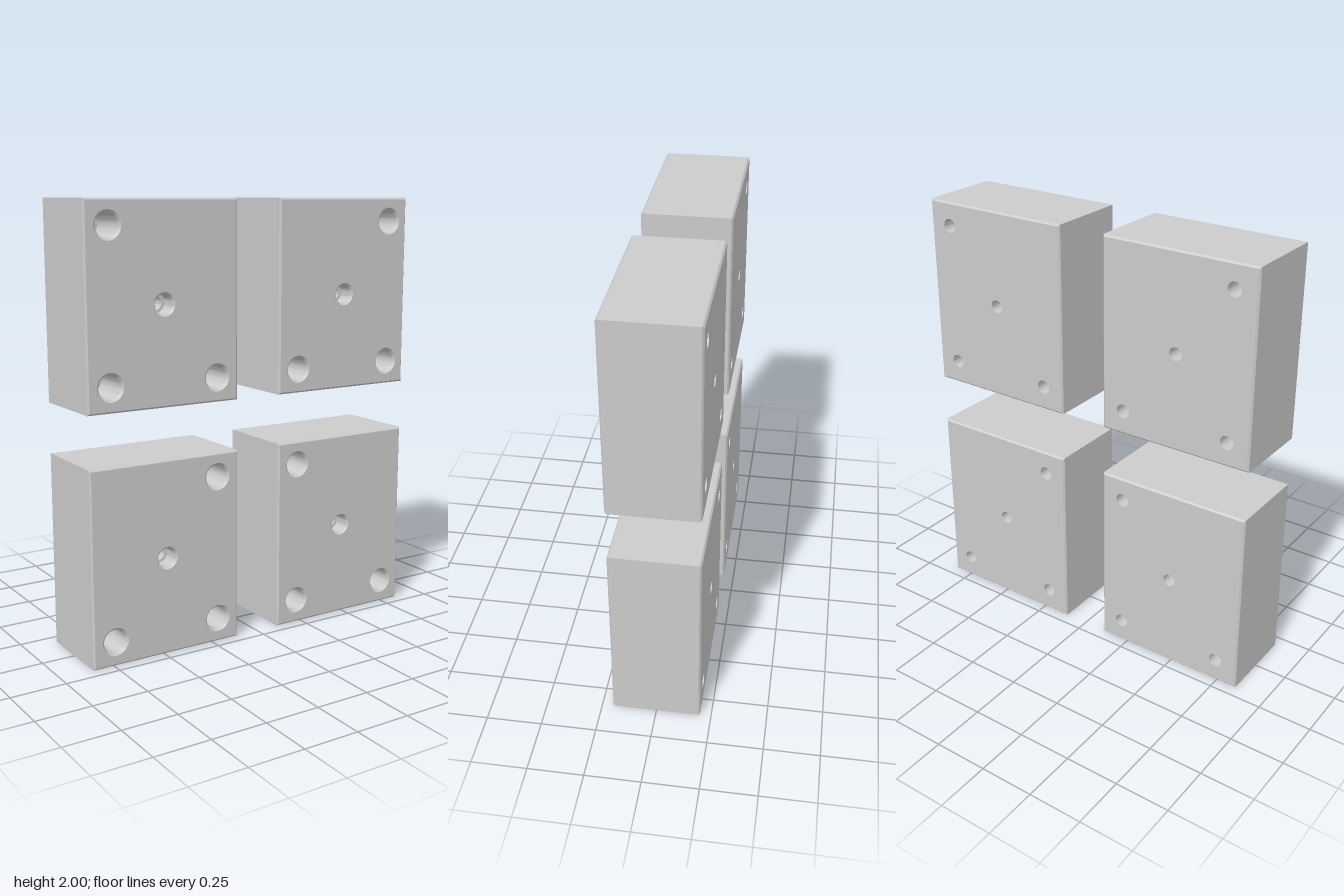
import * as THREE from 'three';
import { toCreasedNormals } from 'three/addons/utils/BufferGeometryUtils.js';

const W = 0.735, H = 0.885, D = 0.4, C = 0.008; // block size and edge chamfer
const SEG = 32;
const material = new THREE.MeshStandardMaterial({ color: 0xcccccc });

// Hole sizes: rim, counterbore and through radius, counterbore depth
const SCREW = { rim: 0.063, bore: 0.053, through: 0.032, depth: 0.2 };
const CENTRE = { rim: 0.052, bore: 0.043, through: 0.03, depth: 0.08 };

function mesh(geometry, name) {
  const m = new THREE.Mesh(geometry, material);
  m.name = name;
  return m;
}

// Four side walls with chamfers, lofted through rectangles from back to front
function wallGeometry() {
  const rings = [[-D / 2, C], [-D / 2 + C, 0], [D / 2 - C, 0], [D / 2, C]].map(([z, inset]) => {
    const x = W / 2 - inset, y = H / 2 - inset;
    return [[-x, -y, z], [x, -y, z], [x, y, z], [-x, y, z]];
  });
  const pos = [];
  for (let r = 0; r < 3; r++) {
    for (let i = 0; i < 4; i++) {
      const j = (i + 1) % 4;
      const a = rings[r][i], b = rings[r][j], c = rings[r + 1][j], d = rings[r + 1][i];
      pos.push(...a, ...b, ...c, ...a, ...c, ...d);
    }
  }
  const g = new THREE.BufferGeometry();
  g.setAttribute('position', new THREE.Float32BufferAttribute(pos, 3));
  g.computeVertexNormals();
  return g;
}

// Flat face pierced by the holes; side is +1 for front, -1 for back
function faceGeometry(holes, side) {
  const x = W / 2 - C, y = H / 2 - C;
  const shape = new THREE.Shape([[-x, -y], [x, -y], [x, y], [-x, y]].map(p => new THREE.Vector2(...p)));
  for (const h of holes) {
    const path = new THREE.Path();
    path.absarc(h.x * side, h.y, side > 0 ? h.type.rim : h.type.through, 0, Math.PI * 2, true);
    shape.holes.push(path);
  }
  const g = new THREE.ShapeGeometry(shape, SEG / 2);
  g.translate(0, 0, D / 2);
  if (side < 0) g.rotateY(Math.PI);
  return g;
}

// Inner surface of a counterbored through hole with a chamfered rim
function holeGeometry({ rim, bore, through, depth }) {
  const f = D / 2;
  const profile = [[rim, f], [bore, f - (rim - bore)], [bore, f - depth], [through, f - depth], [through, -f]];
  const g = new THREE.LatheGeometry(profile.map(p => new THREE.Vector2(...p)), SEG);
  g.rotateX(Math.PI / 2);
  return toCreasedNormals(g, Math.PI / 6);
}

// Block with a centre hole and screw holes at the given corner signs
function createBlock(name, corners) {
  const block = new THREE.Group();
  block.name = name;
  const holes = corners.map(([sx, sy]) => ({ x: sx * 0.26, y: sy * 0.333, type: SCREW, name: 'screwHole' }));
  holes.push({ x: 0, y: 0, type: CENTRE, name: 'centreHole' });
  block.add(mesh(wallGeometry(), 'sideWalls'));
  block.add(mesh(faceGeometry(holes, 1), 'frontFace'));
  block.add(mesh(faceGeometry(holes, -1), 'backFace'));
  for (const h of holes) {
    const m = mesh(holeGeometry(h.type), h.name);
    m.position.set(h.x, h.y, 0);
    block.add(m);
  }
  return block;
}

export function createModel() {
  const model = new THREE.Group();
  model.name = 'cornerBlocks';
  for (const s of [-1, 1]) {
    const side = s > 0 ? 'Left' : 'Right';
    // Upper blocks lack the inner top hole, lower blocks the outer top hole
    const upper = createBlock('upper' + side + 'Block', [[s, 1], [s, -1], [-s, -1]]);
    upper.position.set(s * 0.48, 2 - H / 2, 0);
    const lower = createBlock('lower' + side + 'Block', [[-s, 1], [s, -1], [-s, -1]]);
    lower.position.set(s * 0.48, H / 2, 0);
    model.add(upper, lower);
  }
  return model;
}
